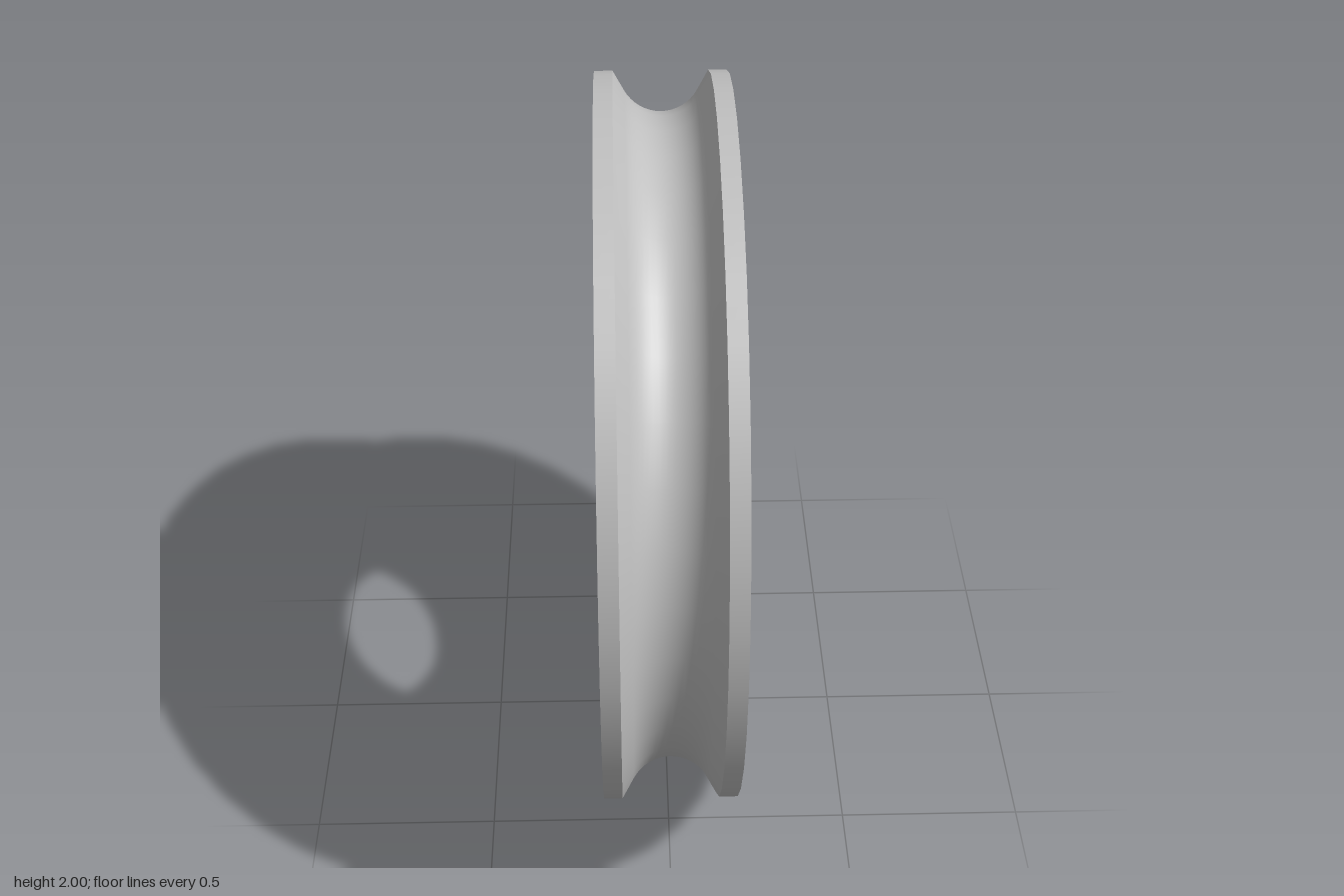
import * as THREE from 'three';

const SEGMENTS = 36;
const PHASE = THREE.MathUtils.degToRad(-6.87);

export function createModel() {
  const group = new THREE.Group();
  group.name = 'grooved pulley wheel';
  const metal = new THREE.MeshStandardMaterial({ color: 0xc0c0c0 });
  metal.name = 'grey metal';

  // Surface of revolution around the x axis from [radius, x] pairs
  const ring = (name, profile) => {
    const points = profile.map(([r, x]) => new THREE.Vector2(r, x));
    const geometry = new THREE.LatheGeometry(points, SEGMENTS, PHASE);
    geometry.rotateZ(-Math.PI / 2);
    geometry.translate(0, 1, 0);
    const mesh = new THREE.Mesh(geometry, metal);
    mesh.name = name;
    group.add(mesh);
  };

  const half = 0.18;    // half thickness
  const lip = 0.13;     // groove half width
  const recess = -0.03; // floor of the recess
  const rim = 1, recessRadius = 0.6, bore = 0.3;

  // Groove: sloped flanks meeting a rounded bottom
  const arcRadius = 0.115, steps = 16;
  const groove = [[rim, -lip]];
  for (let i = 0; i <= steps; i++) {
    const a = (i / steps * 2 - 1) * Math.PI / 3;
    groove.push([0.89 + arcRadius * (1 - Math.cos(a)), arcRadius * Math.sin(a)]);
  }
  groove.push([rim, lip]);

  // Closed section, each surface separate so its edges stay sharp
  ring('rightRim', [[rim, -half], [rim, -lip]]);
  ring('ropeGroove', groove);
  ring('leftRim', [[rim, lip], [rim, half]]);
  ring('leftFace', [[rim, half], [recessRadius, half]]);
  ring('recessWall', [[recessRadius, half], [recessRadius, recess]]);
  ring('recessFloor', [[recessRadius, recess], [bore, recess]]);
  ring('axleBore', [[bore, recess], [bore, -half]]);
  ring('rightFace', [[bore, -half], [rim, -half]]);

  return group;
}
